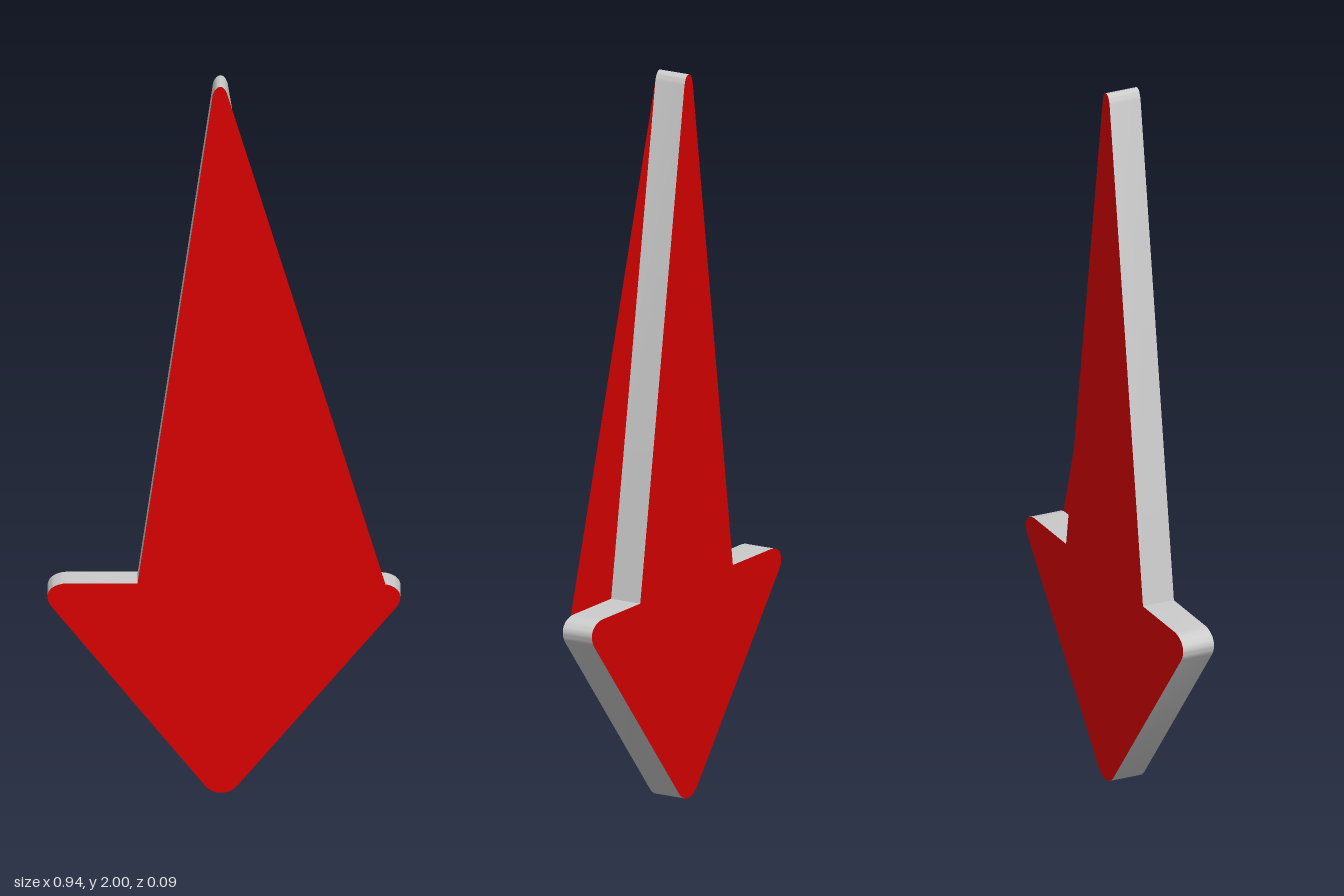
import * as THREE from 'three';
import { toCreasedNormals } from 'three/addons/utils/BufferGeometryUtils.js';

const HALF_DEPTH = 0.046;

// Arrow outline pointing down, with rounded head corners and a rounded tail tip
function arrowShape() {
  const s = new THREE.Shape();
  s.moveTo(-0.05, 0.02);
  s.bezierCurveTo(-0.025, -0.006, 0.01, -0.006, 0.035, 0.02);
  s.lineTo(0.458, 0.525);
  s.bezierCurveTo(0.485, 0.56, 0.465, 0.59, 0.42, 0.593);
  s.lineTo(0.23, 0.593);
  s.lineTo(0.01, 1.975);
  s.bezierCurveTo(0.002, 2.008, -0.022, 2.008, -0.03, 1.975);
  s.lineTo(-0.23, 0.593);
  s.lineTo(-0.42, 0.593);
  s.bezierCurveTo(-0.465, 0.59, -0.485, 0.56, -0.458, 0.525);
  s.closePath();
  return s;
}

export function createModel() {
  const group = new THREE.Group();
  group.name = 'arrow';

  const red = new THREE.MeshStandardMaterial({ color: 0xd80000 });
  const redThin = new THREE.MeshStandardMaterial({ color: 0xd80000, side: THREE.DoubleSide });
  const grey = new THREE.MeshStandardMaterial({ color: 0xcccccc });

  // Solid arrow: red faces, grey rim
  const geometry = new THREE.ExtrudeGeometry(arrowShape(), {
    depth: 2 * HALF_DEPTH, bevelEnabled: false, curveSegments: 12,
  });
  geometry.translate(0, 0, -HALF_DEPTH);
  const body = new THREE.Mesh(toCreasedNormals(geometry, Math.PI / 6), [red, grey]);
  body.name = 'arrowBody';
  group.add(body);

  // Thin flap bridging tail tip and head on the front face
  const flapShape = new THREE.Shape([
    new THREE.Vector2(0.01, 1.975),
    new THREE.Vector2(0.23, 0.593),
    new THREE.Vector2(0.43, 0.593),
  ]);
  const flap = new THREE.Mesh(new THREE.ShapeGeometry(flapShape), redThin);
  flap.name = 'frontFlap';
  flap.position.z = HALF_DEPTH;
  group.add(flap);

  return group;
}
